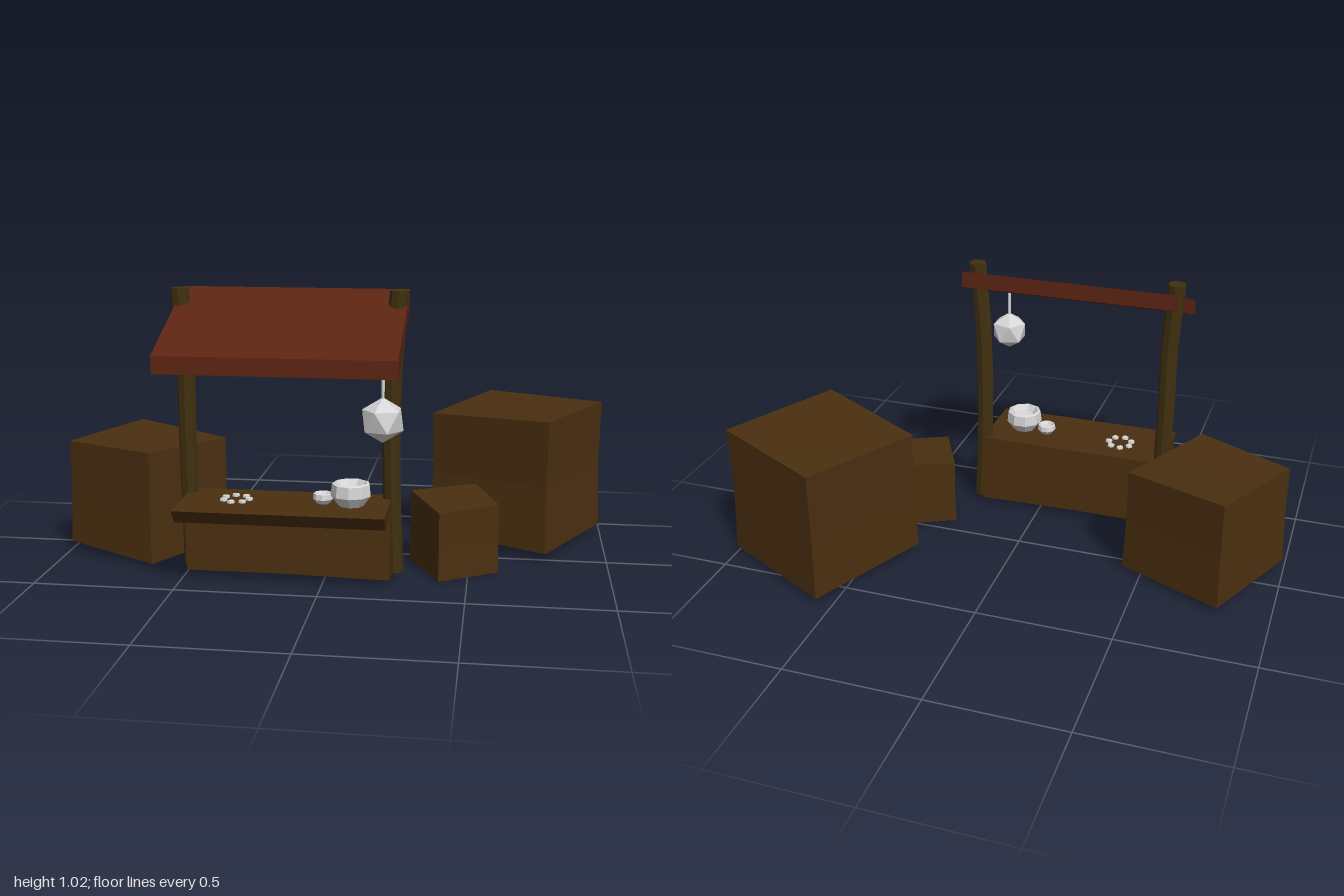
import * as THREE from 'three';

const mat = (name, color) => {
  const m = new THREE.MeshStandardMaterial({ color, flatShading: true });
  m.name = name;
  return m;
};

export function createModel() {
  const wood = mat('brown wood', 0x4a2f10);
  const postWood = mat('dark post wood', 0x40300f);
  const roofRed = mat('rust red', 0x5c2412);
  const grey = mat('pale grey', 0xd6d6d6);
  const group = new THREE.Group();

  const add = (name, geometry, material, x = 0, y = 0, z = 0) => {
    const mesh = new THREE.Mesh(geometry, material);
    mesh.name = name;
    mesh.position.set(x, y, z);
    group.add(mesh);
    return mesh;
  };
  // Move every vertex of a geometry by a rule
  const warp = (geometry, rule) => {
    const p = geometry.attributes.position;
    const v = new THREE.Vector3();
    for (let i = 0; i < p.count; i++) {
      rule(v.fromBufferAttribute(p, i));
      p.setXYZ(i, v.x, v.y, v.z);
    }
    geometry.computeVertexNormals();
    return geometry;
  };
  // Extrude a (z, y) side profile along x
  const slab = (profile, x0, x1) => {
    const shape = new THREE.Shape(profile.map(([z, y]) => new THREE.Vector2(-z, y)));
    const g = new THREE.ExtrudeGeometry(shape, { depth: x1 - x0, bevelEnabled: false });
    return g.rotateY(Math.PI / 2).translate(x0, 0, 0);
  };

  // Sloping roof
  add('roof', slab([[0.62, 0.775], [0.175, 0.955], [0.175, 1.015], [0.62, 0.835]], -0.52, 0.28), roofRed);

  // Crooked posts, bent by interpolating x offsets up the height
  const post = (name, z, offsets) => {
    const g = new THREE.CylinderGeometry(0.033, 0.031, 0.99, 8, 4);
    warp(g, (v) => {
      v.x += offsets[Math.round((v.y / 0.99 + 0.5) * 4)];
    });
    add(name, g, postWood, 0, 0.525, z);
  };
  post('leftPost', 0.275, [0.245, 0.233, 0.228, 0.234, 0.253]);
  post('rightPost', 0.277, [-0.485, -0.488, -0.493, -0.492, -0.508]);

  // Counter
  const front = new THREE.BoxGeometry(0.72, 0.225, 0.12, 2, 1, 1);
  warp(front, (v) => {
    if (v.y < 0) v.y += v.x > 0.1 ? -0.002 : 0.006;
  });
  add('counterBody', front, wood, -0.125, 0.1375, 0.305);
  add('counterTop', slab([[0.535, 0.293], [0.498, 0.244], [0.245, 0.248], [0.245, 0.298]], -0.49, 0.232), wood);

  // Crates: plan corners run back-left, back-right, front-right, front-left.
  // Top heights use the same order; pinch shifts the waist and lower rim.
  const crate = (name, corners, low, tops, pinch, flare) => {
    const cx = corners.reduce((s, c) => s + c[0], 0) / 4;
    const cz = corners.reduce((s, c) => s + c[1], 0) / 4;
    const g = warp(new THREE.BoxGeometry(1, 1, 1, 2, 2, 2), (v) => {
      const u = v.x + 0.5, w = v.z + 0.5, h = v.y + 0.5;
      const weights = [(1 - u) * (1 - w), u * (1 - w), u * w, (1 - u) * w];
      const mix = (f) => weights.reduce((s, k, i) => s + k * f(i), 0);
      const scale = h === 0.5 ? pinch : h === 0 ? flare : 1;
      v.x = (mix((i) => corners[i][0]) - cx) * scale;
      v.z = (mix((i) => corners[i][1]) - cz) * scale;
      const y0 = mix((i) => low[i]);
      v.y = y0 + (mix((i) => tops[i]) - y0) * h;
    });
    add(name, g, wood, cx, 0, cz);
  };
  crate('largeCrate', [[0.555, -0.63], [0.99, -0.405], [0.775, 0.025], [0.345, -0.195]],
    [0.03, 0.03, 0.035, 0.04], [0.52, 0.525, 0.528, 0.505], 0.985, 1.02);
  crate('mediumCrate', [[-0.81, -0.24], [-0.435, -0.065], [-0.635, 0.29], [-0.985, 0.12]],
    [0.03, 0.018, 0.022, 0.04], [0.44, 0.415, 0.43, 0.427], 1, 1.03);
  crate('smallCrate', [[0.515, -0.055], [0.605, 0.18], [0.4, 0.295], [0.283, 0.06]].map((c, i, a) => a[(i + 3) % 4]),
    [0.01, 0.012, 0.008, 0.002], [0.268, 0.27, 0.258, 0.25], 0.99, 1.01);

  // Hanging lantern, standing on a vertex
  const gem = new THREE.IcosahedronGeometry(0.075, 0).rotateZ(Math.atan2(2, 1 + Math.sqrt(5)));
  add('lantern', gem, grey, 0.228, 0.635, 0.57);
  add('lanternRod', new THREE.CylinderGeometry(0.006, 0.006, 0.11, 6), grey, 0.228, 0.75, 0.57);

  // Bowls with a shallow hollow
  const bowl = (name, r, h, x, z) => {
    const profile = [[0, 0], [0.62, 0], [1, 0.45], [0.94, 0.95], [0.8, 1], [0.55, 0.72], [0, 0.66]]
      .map(([a, b]) => new THREE.Vector2(a * r, b * h));
    add(name, new THREE.LatheGeometry(profile, 9), grey, x, 0.296, z);
  };
  bowl('largeBowl', 0.07, 0.08, 0.103, 0.385);
  bowl('smallBowl', 0.036, 0.037, 0.005, 0.372);

  // Loose coins on the counter
  for (let i = 0; i < 7; i++) {
    const a = (i / 7) * Math.PI * 2;
    add('coin', new THREE.CylinderGeometry(0.013, 0.014, 0.008, 6), grey,
      -0.3 + Math.cos(a) * 0.045, 0.3, 0.37 + Math.sin(a) * 0.045);
  }

  return group;
}
